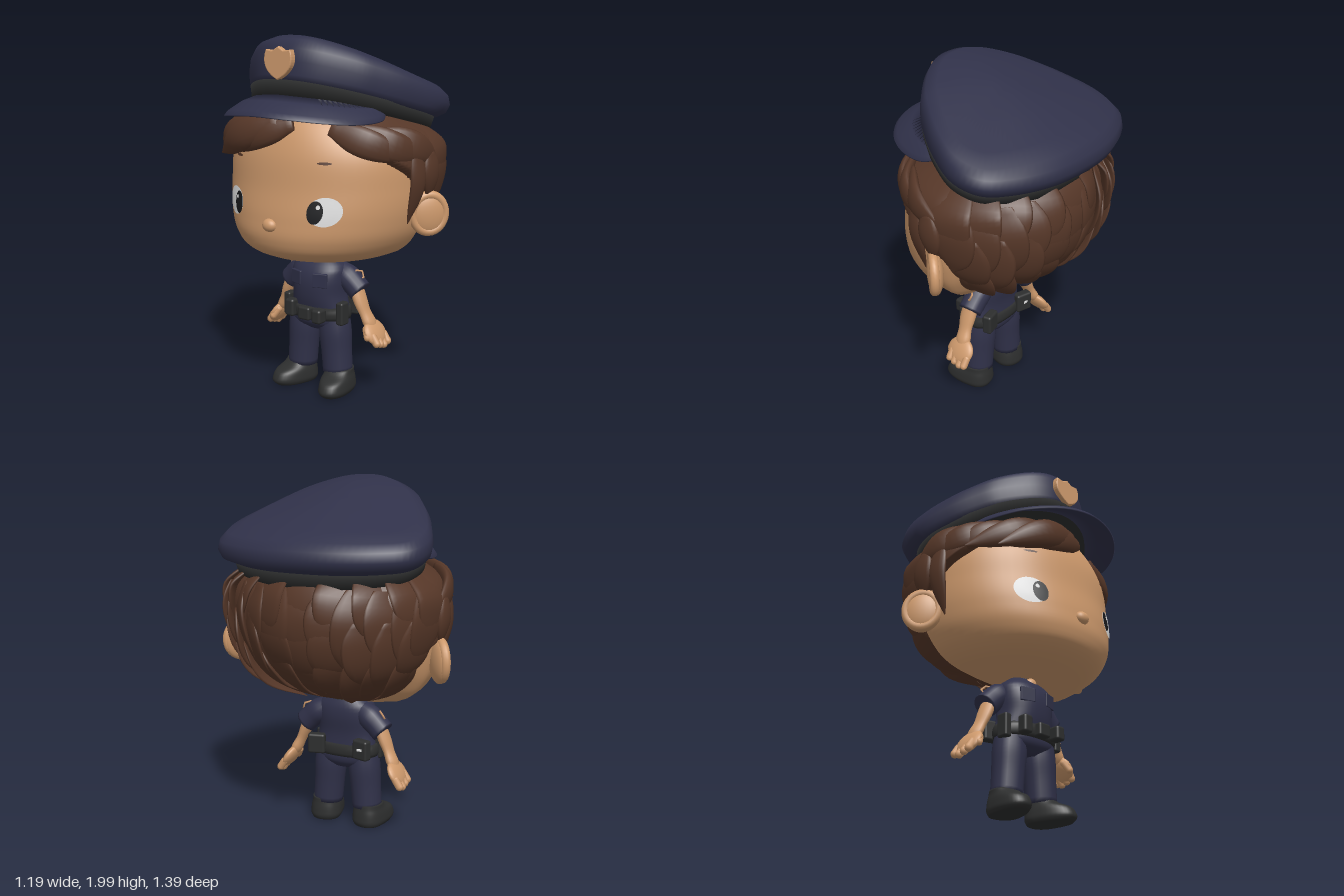
import * as THREE from 'three';
import { RoundedBoxGeometry } from 'three/addons/geometries/RoundedBoxGeometry.js';

const mat = (name, color) => {
  const m = new THREE.MeshStandardMaterial({ color, side: THREE.DoubleSide });
  m.name = name;
  return m;
};
const V = (x, y, z) => new THREE.Vector3(x, y, z);
const lerp = THREE.MathUtils.lerp;

// Skin over closed rings of points, with optional end caps
function loft(rings, capStart = true, capEnd = true) {
  const n = rings[0].length, pos = [], idx = [];
  rings.forEach(r => r.forEach(p => pos.push(p.x, p.y, p.z)));
  for (let j = 0; j < rings.length - 1; j++) for (let i = 0; i < n; i++) {
    const a = j * n + i, b = j * n + (i + 1) % n;
    idx.push(a, a + n, b, b, a + n, b + n);
  }
  const cap = (j, top) => {
    const c = V(0, 0, 0), k = pos.length / 3;
    rings[j].forEach(p => c.addScaledVector(p, 1 / n));
    pos.push(c.x, c.y, c.z);
    for (let i = 0; i < n; i++) {
      const a = j * n + i, b = j * n + (i + 1) % n;
      top ? idx.push(k, b, a) : idx.push(k, a, b);
    }
  };
  if (capStart) cap(0, false);
  if (capEnd) cap(rings.length - 1, true);
  const g = new THREE.BufferGeometry();
  g.setAttribute('position', new THREE.Float32BufferAttribute(pos, 3));
  g.setIndex(idx);
  g.computeVertexNormals();
  return g;
}

// Body of rounded sections; rows are [y, half width, z front, z back], power sets how boxy it is
function body(rows, zc, power = 2.3) {
  const f = new THREE.CubicInterpolant(rows.map(r => r[0]), rows.flatMap(r => r.slice(1)), 3);
  const point = (a, y, off = 0) => {
    const [w, zf, zb] = f.evaluate(y), c = Math.cos(a), s = Math.sin(a);
    const e = v => Math.sign(v) * Math.abs(v) ** (2 / power);
    return V((w + off) * e(c), y, zc + ((s > 0 ? zf - zc : zc - zb) + off) * e(s));
  };
  const y0 = rows[0][0], y1 = rows[rows.length - 1][0];
  const geo = (ny = 16, na = 40, fn = point) => loft(Array.from({ length: ny + 1 }, (_, j) =>
    Array.from({ length: na }, (_, i) => fn(i / na * Math.PI * 2, lerp(y0, y1, j / ny)))));
  return { point, geo };
}

// Tapered tube along points; hint is the direction of the flattened axis
function limb(points, radii, flat = 1, hint = V(1, 0, 0.01), steps = 14, seg = 16) {
  const curve = new THREE.CatmullRomCurve3(points);
  const rf = new THREE.CubicInterpolant(radii.map((_, i) => i / (radii.length - 1)), radii, 1);
  return loft(Array.from({ length: steps + 1 }, (_, j) => {
    const t = j / steps, c = curve.getPoint(t), tan = curve.getTangent(t);
    const r = Math.max(rf.evaluate(t)[0], 0.002);
    const u = hint.clone().addScaledVector(tan, -hint.dot(tan)).normalize(), v = u.clone().cross(tan);
    return Array.from({ length: seg }, (_, i) => {
      const a = i / seg * Math.PI * 2;
      return c.clone().addScaledVector(u, Math.cos(a) * r * flat).addScaledVector(v, Math.sin(a) * r);
    });
  }));
}

export function createModel() {
  const navy = mat('navy cloth', 0x303149), brown = mat('brown hair', 0x563728), skin = mat('skin', 0xcd996c);
  const black = mat('black leather', 0x2d2e2e), white = mat('eye white', 0xe2e2e2), pupilMat = mat('pupil black', 0x18191c);
  const root = new THREE.Group();
  const add = (name, geo, m, p = [0, 0, 0], r = [0, 0, 0], s = [1, 1, 1]) => {
    const mesh = new THREE.Mesh(geo, m);
    mesh.name = name;
    mesh.position.set(...p); mesh.rotation.set(...r); mesh.scale.set(...s);
    root.add(mesh);
  };
  const ball = new THREE.SphereGeometry(1, 24, 16);
  const box = (x, y, z) => new RoundedBoxGeometry(x, y, z, 3, Math.min(x, y, z) * 0.25);

  // Head
  const head = body([[0.79, 0.25, 0.24, -0.12], [0.805, 0.35, 0.32, -0.14], [0.85, 0.45, 0.425, -0.2], [0.93, 0.522, 0.475, -0.27],
    [1.05, 0.565, 0.478, -0.36], [1.2, 0.58, 0.457, -0.42], [1.4, 0.56, 0.432, -0.42], [1.53, 0.47, 0.385, -0.38], [1.63, 0.34, 0.32, -0.25]], -0.1, 2.08);
  add('head', head.geo(40, 64), skin);
  add('nose', ball, skin, [0, 1.022, 0.475], [0, 0, 0], [0.044, 0.036, 0.034]);

  // Eyes and brows are thin patches that follow the face
  const patch = (a0, y0, ra, ry, off) => loft([1, 0.66, 0.33].map(k => Array.from({ length: 28 }, (_, i) => {
    const t = i / 28 * Math.PI * 2;
    return head.point(a0 + ra * k * Math.cos(t), y0 + ry * k * Math.sin(t), off);
  })), false, true);
  for (const s of [1, -1]) {
    const at = d => Math.PI / 2 - s * d;
    add('eyeWhite', patch(at(0.53), 1.113, 0.165, 0.076, 0.005), white);
    add('pupil', patch(at(0.44), 1.11, 0.075, 0.06, 0.008), pupilMat);
    add('eyeGlint', patch(at(0.465), 1.138, 0.02, 0.012, 0.01), white);
    add('brow', patch(at(0.5), 1.36, 0.07, 0.007, 0.004), brown);
    // Ear: bowl and rim, turned to face partly forward
    add('ear', ball, skin, [s * 0.605, 1.06, -0.115], [0, -s * 0.7, 0], [0.043, 0.12, 0.105]);
    add('earRim', new THREE.TorusGeometry(0.09, 0.023, 12, 32), skin, [s * 0.612, 1.065, -0.11], [0, Math.PI / 2 - s * 0.7, 0], [1, 1.1, 1.1]);
  }

  // Hair: smooth shell tucked into the head ahead of the hairline
  const hair = body([[0.795, 0.22, 0.4, -0.16], [0.82, 0.3, 0.43, -0.22], [0.86, 0.395, 0.45, -0.29], [0.92, 0.475, 0.47, -0.37], [1.0, 0.545, 0.48, -0.44],
    [1.1, 0.59, 0.48, -0.49], [1.25, 0.618, 0.465, -0.52], [1.4, 0.618, 0.45, -0.495], [1.48, 0.57, 0.42, -0.445],
    [1.55, 0.46, 0.37, -0.38], [1.63, 0.34, 0.32, -0.28], [1.68, 0.18, 0.25, -0.15]], -0.1, 2.03);
  const line = new THREE.CubicInterpolant([0.8, 0.95, 1.12, 1.2, 1.3, 1.36, 1.45, 1.55, 1.65],
    [-0.11, -0.19, -0.2, -0.06, 0.07, 0.17, 0.26, 0.32, 0.38], 1);
  add('hairShell', hair.geo(70, 160, (a, y) => {
    const p = hair.point(a, y);
    const k = THREE.MathUtils.smoothstep(line.evaluate(y)[0] - p.z, -0.025, 0.015);
    return head.point(a, y, -0.04).setY(y).lerp(p, k);
  }), brown);

  // Separate pointed locks laid on the shell
  const lock = (pts, w, flat = 0.42, off = 0.004) => {
    const p = pts.map(q => hair.point(q[0], q[1], off)), m = p[1];
    add('hairLock', limb(p, [w * 0.5, w * 0.95, w, w * 0.7, 0.004], flat, V(m.x, 0, m.z + 0.1).normalize()), brown);
  };
  // Overlapping rows round the back: [top, tip, count, width]
  [[1.12, 0.815, 9, 0.1], [1.3, 0.93, 9, 0.12], [1.45, 1.06, 11, 0.12], [1.54, 1.22, 9, 0.12]].forEach(([top, tip, n, w], row) => {
    for (let i = 0; i < n; i++) {
      const u = (i + 0.5) / n * 2 - 1, span = 1.15 + row * 0.1;
      const a = -Math.PI / 2 + u * span, drop = 0.035 * Math.sin(i * 2.4 + row * 1.7);
      const at = k => [a + k * k * 0.09 * Math.sin(i * 1.9 + row), lerp(top, tip + drop, k)];
      lock([at(0), at(0.35), at(0.7), at(1)], w, 0.16, 0.002);
    }
  });
  // Side bangs and sideburns
  for (const s of [1, -1]) {
    const l = (pts, w) => lock(pts.map(([a, y]) => [s > 0 ? a : Math.PI - a, y]), w, 0.38);
    l([[1.0, 1.53], [0.66, 1.45], [0.2, 1.37]], 0.075);
    l([[0.8, 1.52], [0.45, 1.44], [-0.02, 1.37]], 0.08);
    l([[0.55, 1.5], [0.2, 1.43], [-0.2, 1.34]], 0.08);
    l([[0.21, 1.42], [0.18, 1.24], [0.18, 1.02]], 0.055);
    l([[0.02, 1.4], [-0.01, 1.27], [-0.01, 1.14]], 0.07);
  }
  // Swept front tuft
  lock([[1.4, 1.55], [1.75, 1.48], [2.1, 1.38]], 0.07, 0.5, 0.02);
  lock([[1.55, 1.55], [1.95, 1.47], [2.35, 1.35]], 0.085, 0.6, 0.035);
  lock([[1.8, 1.54], [2.2, 1.46], [2.65, 1.36]], 0.085, 0.5, 0.02);

  // Cap: one egg-shaped outline, remapped for every ring; the last value lowers the sides
  const half = [[0, -0.59], [0.22, -0.57], [0.42, -0.5], [0.56, -0.4], [0.6, -0.25], [0.53, -0.05],
    [0.44, 0.1], [0.37, 0.19], [0.21, 0.315], [0.1, 0.36], [0, 0.37]];
  const outline = new THREE.CatmullRomCurve3([...half, ...half.slice(1, -1).reverse().map(([x, z]) => [-x, z])]
    .map(([x, z]) => V(x, 0, z)), true).getPoints(96).slice(0, -1);
  const capRing = ([sx, zf, zb, yf, yb, dip]) => outline.map(p => {
    const t = (p.z + 0.59) / 0.96;
    return V(p.x * sx, lerp(yb, yf, t) - dip * (p.x / 0.6) ** 2, lerp(zb, zf, t));
  });
  add('capBand', loft([[0.88, 0.39, -0.48, 1.69, 1.45, 0.005], [0.91, 0.395, -0.505, 1.775, 1.545, 0.03]].map(capRing)), black);
  add('capCrown', loft([[0.915, 0.38, -0.51, 1.765, 1.53, 0.03], [0.975, 0.382, -0.57, 1.8, 1.555, 0.035], [1, 0.376, -0.59, 1.87, 1.6, 0.045],
    [0.985, 0.365, -0.58, 1.935, 1.65, 0.05], [0.93, 0.34, -0.54, 1.98, 1.695, 0.055], [0.8, 0.28, -0.45, 1.997, 1.74, 0.055],
    [0.5, 0.13, -0.28, 1.965, 1.82, 0.035], [0.2, 0, -0.15, 1.93, 1.875, 0.01]].map(capRing)), navy);

  // Visor: thin curved blade swept around the front of the band
  const outer = new THREE.CatmullRomCurve3([[0.4, 1.605, 0], [0.455, 1.57, 0.1], [0.435, 1.56, 0.27], [0.35, 1.572, 0.43], [0.19, 1.592, 0.555],
    [0, 1.603, 0.597], [-0.19, 1.592, 0.555], [-0.35, 1.572, 0.43], [-0.435, 1.56, 0.27], [-0.455, 1.57, 0.1], [-0.4, 1.605, 0]].reverse().map(p => V(...p)));
  const inner = new THREE.CatmullRomCurve3([[-0.4, 1.62, 0], [-0.32, 1.66, 0.19], [-0.18, 1.69, 0.31], [0, 1.7, 0.37],
    [0.18, 1.69, 0.31], [0.32, 1.66, 0.19], [0.4, 1.62, 0]].map(p => V(...p)));
  add('capVisor', loft(Array.from({ length: 49 }, (_, i) => {
    const a = inner.getPoint(i / 48), b = outer.getPoint(i / 48), at = (k, dy) => a.clone().lerp(b, k).add(V(0, dy, 0));
    return [a, at(0.5, 0), at(0.98, -0.008), b, at(0.9, 0.014), at(0.5, 0.02)];
  })), navy);

  // Cap badge
  const shield = new THREE.Shape();
  shield.moveTo(0, -0.08);
  shield.bezierCurveTo(0.07, -0.05, 0.1, 0, 0.075, 0.06);
  shield.lineTo(0.035, 0.055); shield.lineTo(0, 0.075); shield.lineTo(-0.035, 0.055); shield.lineTo(-0.075, 0.06);
  shield.bezierCurveTo(-0.1, 0, -0.07, -0.05, 0, -0.08);
  add('capBadge', new THREE.ExtrudeGeometry(shield, { depth: 0.024, bevelSize: 0.007, bevelThickness: 0.007, bevelSegments: 3 }), skin, [0, 1.857, 0.372], [-0.05, 0, 0]);

  // Shirt, trousers top, collar and belt
  add('shirt', body([[0.46, 0.185, 0.14, -0.065], [0.56, 0.165, 0.165, -0.065], [0.67, 0.17, 0.165, -0.08],
    [0.73, 0.16, 0.14, -0.075], [0.77, 0.11, 0.1, -0.06], [0.8, 0.07, 0.06, -0.05]], 0.02).geo(), navy);
  add('trouserSeat', body([[0.355, 0.08, 0.09, -0.03], [0.39, 0.165, 0.135, -0.058], [0.48, 0.18, 0.145, -0.065]], 0.03).geo(), navy);
  add('collar', new THREE.CylinderGeometry(0.072, 0.08, 0.04, 28), black, [0, 0.785, 0.005]);
  add('openNeck', ball, skin, [0, 0.755, 0.09], [0, 0, 0], [0.035, 0.035, 0.03]);
  add('belt', body([[0.43, 0.19, 0.16, -0.072], [0.465, 0.195, 0.168, -0.078], [0.5, 0.185, 0.165, -0.072]], 0.03).geo(4), black);
  add('buckle', box(0.08, 0.075, 0.05), black, [0, 0.468, 0.175]);
  add('frontPouch', box(0.06, 0.08, 0.07), black, [0.1, 0.47, 0.185]);
  add('radio', box(0.06, 0.1, 0.06), black, [-0.11, 0.48, 0.16]);
  add('pouchStud', box(0.03, 0.014, 0.006), white, [-0.14, 0.495, -0.102]);

  for (const s of [1, -1]) {
    // Belt pouches and chest pockets
    add('backPouch', box(0.1, 0.115, 0.055), black, [s * 0.142, 0.49, -0.072], [0, s * 0.25, 0]);
    add('sideHolster', box(0.045, 0.13, 0.07), black, [s * 0.185, 0.475, 0.08]);
    add('chestPocket', box(0.085, 0.08, 0.02), navy, [s * 0.08, 0.66, 0.148], [0, s * 0.3, 0]);
    // Sleeve with patch outline
    add('sleeve', limb([V(s * 0.1, 0.71, 0), V(s * 0.18, 0.65, -0.005), V(s * 0.245, 0.59, -0.01)], [0.05, 0.07, 0.068, 0.067]), navy);
    add('sleevePatch', new THREE.TorusGeometry(0.03, 0.006, 6, 5), skin, [s * 0.236, 0.686, -0.005], [-0.7, s * 0.75, 0]);
    // Arm and closed hand
    const side = V(s, 0.5, 0).normalize();
    add('arm', limb([V(s * 0.22, 0.62, 0), V(s * 0.262, 0.52, 0), V(s * 0.298, 0.44, -0.01), V(s * 0.33, 0.38, -0.02)],
      [0.05, 0.05, 0.042, 0.047, 0.03], 0.65, side), skin);
    add('hand', ball, skin, [s * 0.338, 0.37, -0.02], [0, 0, s * 0.55], [0.03, 0.078, 0.088]);
    for (let i = 0; i < 4; i++)
      add('finger', new THREE.CapsuleGeometry(0.022, 0.045, 4, 10), skin, [s * 0.367, 0.32 + Math.abs(i - 2) * 0.01, 0.026 - i * 0.036], [0, 0, s * 0.6]);
    add('thumb', new THREE.CapsuleGeometry(0.021, 0.05, 4, 10), skin, [s * 0.325, 0.375, 0.042], [-0.5, 0, s * 0.5]);
    // Leg and shoe, turned slightly outward
    add('trouserLeg', limb([V(s * 0.1, 0.46, 0.038), V(s * 0.112, 0.3, 0.038), V(s * 0.126, 0.12, 0.038)], [0.085, 0.093, 0.088, 0.086]), navy);
    add('shoe', body([[0, 0.08, 0.175, -0.085], [0.02, 0.09, 0.195, -0.095], [0.05, 0.09, 0.19, -0.095], [0.08, 0.086, 0.165, -0.092],
      [0.105, 0.08, 0.105, -0.088], [0.13, 0.078, 0.068, -0.085]], 0).geo(), black, [s * 0.138, 0.01, 0.04], [0, s * 0.22, 0]);
  }

  // The figure faces -x
  root.rotation.y = -Math.PI / 2;
  const model = new THREE.Group();
  model.name = 'officerFigure';
  root.name = 'figure';
  model.add(root);
  return model;
}
